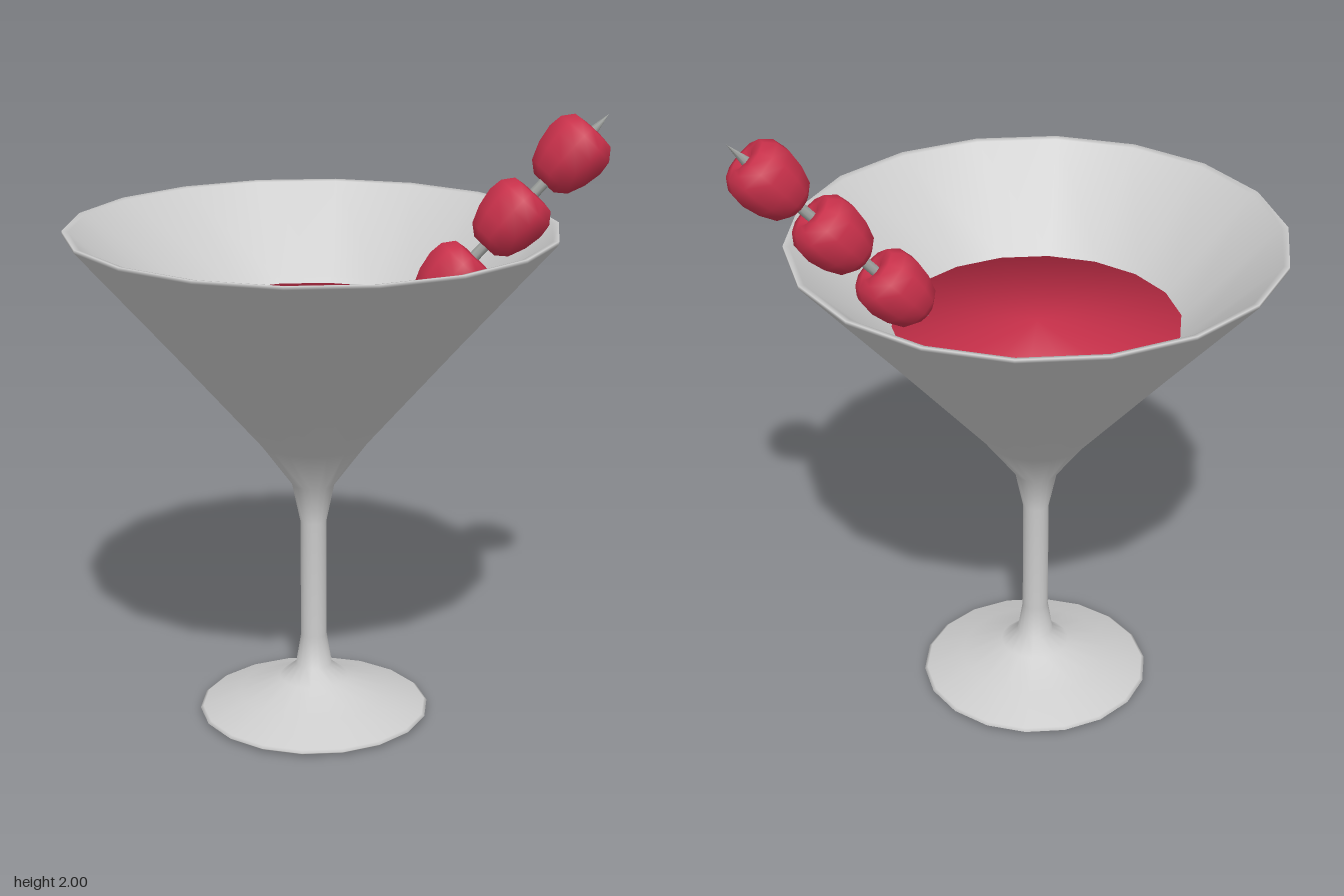
import * as THREE from 'three';

const SIDES = 18;
const GLASS_X = -0.077;

const mat = (name, color) => {
  const m = new THREE.MeshStandardMaterial({ color });
  m.name = name;
  return m;
};

// Revolve a list of [radius, height] pairs, with a corner on the +x axis
function lathe(name, profile, sides, material) {
  const points = profile.map(([r, y]) => new THREE.Vector2(r, y));
  const mesh = new THREE.Mesh(new THREE.LatheGeometry(points, sides, Math.PI / 2), material);
  mesh.name = name;
  return mesh;
}

export function createModel() {
  const glassGrey = mat('glass grey', 0xcccccc);
  const cherryRed = mat('cherry red', 0xc8304a);
  const pickGrey = mat('pick grey', 0x9c9f9c);

  const model = new THREE.Group();
  model.name = 'cocktailGlass';

  // Foot, stem and conical bowl in one profile, ending inside the bowl
  const glass = lathe('glass', [
    [0, 0], [0.22, 0.001], [0.375, 0.007], [0.382, 0.013], [0.372, 0.02],
    [0.25, 0.067], [0.115, 0.12], [0.06, 0.165], [0.043, 0.27],
    [0.043, 0.67], [0.07, 0.8], [0.18, 0.95], [0.48, 1.297],
    [0.784, 1.642], [0.785, 1.654], [0.765, 1.65],
    [0.48, 1.375], [0.2, 1.1], [0, 0.95],
  ], SIDES, glassGrey);
  glass.position.x = GLASS_X;
  model.add(glass);

  // Drink: soft-edged flat surface over a tapered body
  const drink = lathe('drink', [[0, 0.97], [0.2, 1.115], [0.46, 1.36], [0, 1.362]], SIDES, cherryRed);
  drink.position.x = GLASS_X;
  model.add(drink);

  // Garnish, built upright around the top cherry and then tilted
  const garnish = new THREE.Group();
  garnish.name = 'garnish';
  const axis = new THREE.Vector3(0.187, 0.197, -0.012);
  const spacing = axis.length();
  garnish.position.set(0.738, 1.872, 0.004);
  garnish.quaternion.setFromUnitVectors(new THREE.Vector3(0, 1, 0), axis.clone().normalize());

  // Cherries: broad dimpled shoulder, narrower base
  const cherryProfile = [
    [0, -0.118], [0.045, -0.122], [0.08, -0.095], [0.103, -0.04], [0.114, 0.02],
    [0.108, 0.065], [0.08, 0.1], [0.045, 0.105], [0.015, 0.085], [0, 0.08],
  ];
  for (let i = 0; i < 3; i++) {
    const cherry = lathe('cherry' + (i + 1), cherryProfile, 10, cherryRed);
    cherry.position.y = -i * spacing;
    garnish.add(cherry);
  }

  // Pick with a pointed tip
  garnish.add(lathe('pick', [
    [0, -0.69], [0.018, -0.64], [0.018, 0.09], [0, 0.172],
  ], 8, pickGrey));
  model.add(garnish);

  return model;
}
